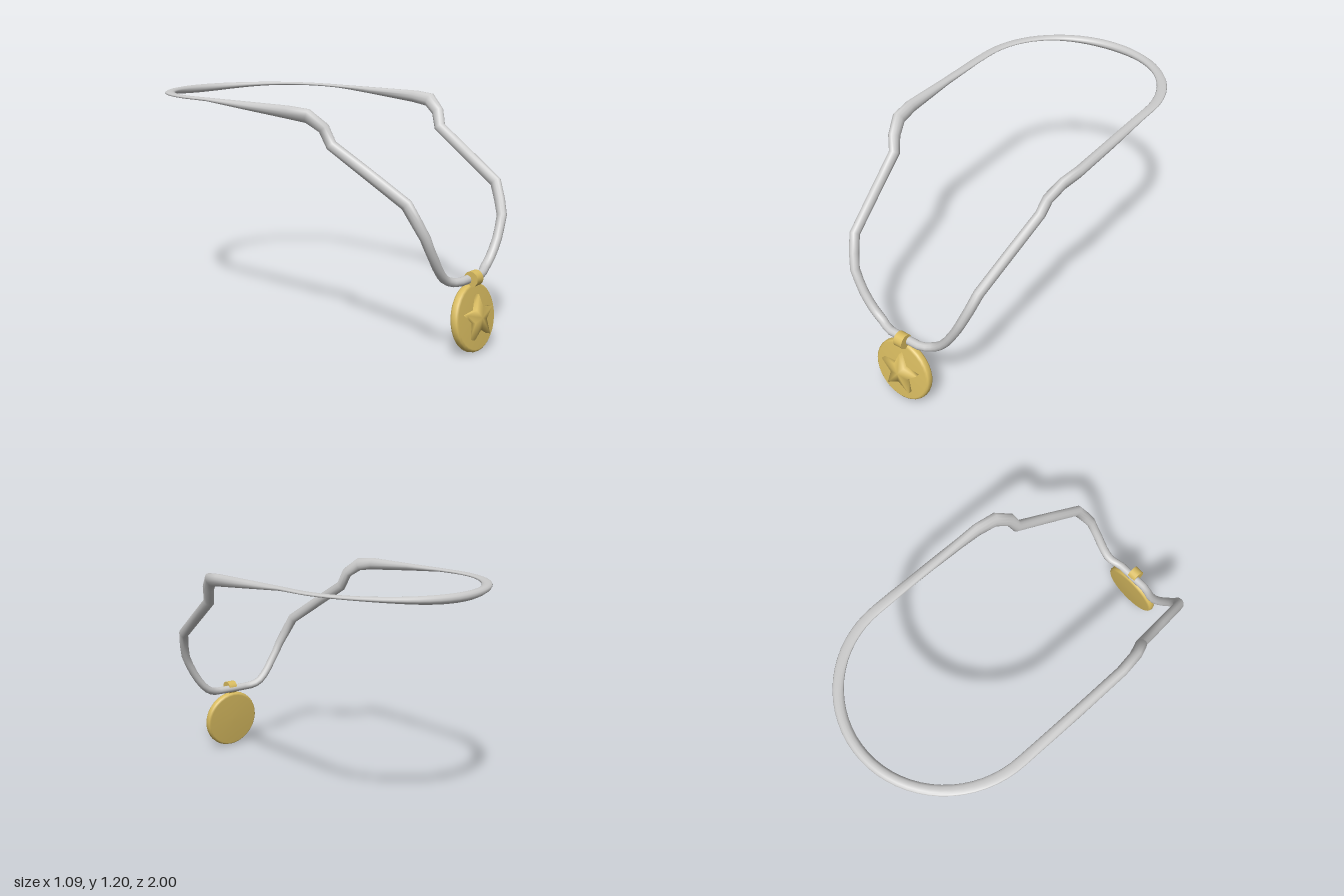
import * as THREE from 'three';

const silver = new THREE.MeshStandardMaterial({ name: 'silver', color: 0xcccccc });
const gold = new THREE.MeshStandardMaterial({ name: 'gold', color: 0xdabd61 });

// One half of the cord, front centre to back centre: x, y, z, half thickness
function cordHalf() {
  const half = [
    [0, 0.365, 0.918, 0.023], [0.09, 0.366, 0.918, 0.023], [0.13, 0.37, 0.908, 0.023],
    [0.16, 0.38, 0.897, 0.024], [0.19, 0.397, 0.893, 0.025], [0.22, 0.425, 0.893, 0.025],
    [0.25, 0.463, 0.893, 0.025], [0.28, 0.51, 0.893, 0.025], [0.31, 0.563, 0.888, 0.025],
    [0.337, 0.62, 0.882, 0.027], [0.362, 0.69, 0.852, 0.029], [0.387, 0.775, 0.81, 0.031],
    [0.42, 0.9, 0.61, 0.03], [0.452, 1.02, 0.415, 0.031], [0.472, 1.1, 0.385, 0.033],
    [0.502, 1.155, 0.31, 0.038], [0.517, 1.166, 0.2, 0.034], [0.52, 1.18, -0.1, 0.019],
    [0.519, 1.191, -0.35, 0.009],
  ];
  // Neck arc at the back
  const steps = 16;
  for (let i = 0; i <= steps; i++) {
    const a = (i / steps) * Math.PI / 2, s = Math.sin(a) ** 4;
    half.push([i === steps ? 0 : 0.518 * Math.cos(a), 1.192 - 0.015 * s, -0.455 - 0.518 * Math.sin(a), 0.008 + 0.015 * s]);
  }
  return half;
}

// Closed loop of oval cross-sections
function cordGeometry() {
  const half = cordHalf();
  const path = [...half, ...half.slice(1, -1).reverse().map(([x, y, z, t]) => [-x, y, z, t])];
  const pts = path.map(([x, y, z]) => new THREE.Vector3(x, y, z));
  const n = pts.length, sides = 12, pos = [], index = [];
  for (let i = 0; i < n; i++) {
    const p = pts[i];
    const before = p.clone().sub(pts[(i + n - 1) % n]).normalize();
    const after = pts[(i + 1) % n].clone().sub(p).normalize();
    const t = before.add(after).normalize();
    const w = THREE.MathUtils.clamp((p.y - 0.4) / 0.7, 0, 1);
    // The band leans outward over the shoulders
    const lean = 0.9 * p.x * w ** 4 * THREE.MathUtils.smoothstep(p.z, -0.35, 0.2);
    const b = new THREE.Vector3(lean, w, 1 - w);
    b.addScaledVector(t, -b.dot(t)).normalize();
    const side = b.clone().cross(t);
    const width = 0.022 + 0.005 * w;
    for (let j = 0; j < sides; j++) {
      const a = (j / sides) * Math.PI * 2;
      const v = p.clone().addScaledVector(side, width * Math.cos(a)).addScaledVector(b, path[i][3] * Math.sin(a));
      pos.push(v.x, v.y, v.z);
      const k = (j + 1) % sides, next = ((i + 1) % n) * sides;
      index.push(i * sides + j, i * sides + k, next + j, i * sides + k, next + k, next + j);
    }
  }
  return indexed(pos, index);
}

// Raised five-pointed star with walls and a slightly domed face
function starGeometry(outer, inner, base, rim, apex) {
  const pos = [], index = [];
  for (const z of [base, rim]) {
    for (let i = 0; i < 10; i++) {
      const a = Math.PI / 2 + (i * Math.PI) / 5, r = i % 2 ? inner : outer;
      pos.push(r * Math.cos(a), r * Math.sin(a), z);
    }
  }
  pos.push(0, 0, apex);
  for (let i = 0; i < 10; i++) {
    const k = (i + 1) % 10;
    index.push(i, k, 10 + i, k, 10 + k, 10 + i, 20, 10 + i, 10 + k);
  }
  return indexed(pos, index);
}

function indexed(pos, index) {
  const g = new THREE.BufferGeometry();
  g.setAttribute('position', new THREE.Float32BufferAttribute(pos, 3));
  g.setIndex(index);
  g.computeVertexNormals();
  return g;
}

function part(name, geometry, material, parent) {
  const mesh = new THREE.Mesh(geometry, material);
  mesh.name = name;
  parent.add(mesh);
  return mesh;
}

export function createModel() {
  const model = new THREE.Group();
  model.name = 'medalNecklace';
  part('cord', cordGeometry(), silver, model);

  // Ring holding the medal on the cord
  const ring = new THREE.CylinderGeometry(0.039, 0.039, 0.052, 20).rotateZ(Math.PI / 2);
  part('ring', ring, gold, model).position.set(0, 0.369, 0.937);

  // Medal, leaning with its lower edge forward
  const medal = new THREE.Group();
  medal.name = 'medal';
  medal.position.set(0, 0.173, 0.938);
  medal.rotation.x = -0.13;
  model.add(medal);
  const profile = [[0, -0.025], [0.157, -0.024], [0.167, -0.017], [0.171, -0.008],
    [0.171, 0.008], [0.167, 0.017], [0.157, 0.024], [0, 0.025]];
  const disc = new THREE.LatheGeometry(profile.map(([r, y]) => new THREE.Vector2(r, y)), 32);
  part('disc', disc.rotateX(Math.PI / 2), gold, medal);
  part('star', starGeometry(0.118, 0.053, 0.02, 0.048, 0.058), gold, medal);
  return model;
}
